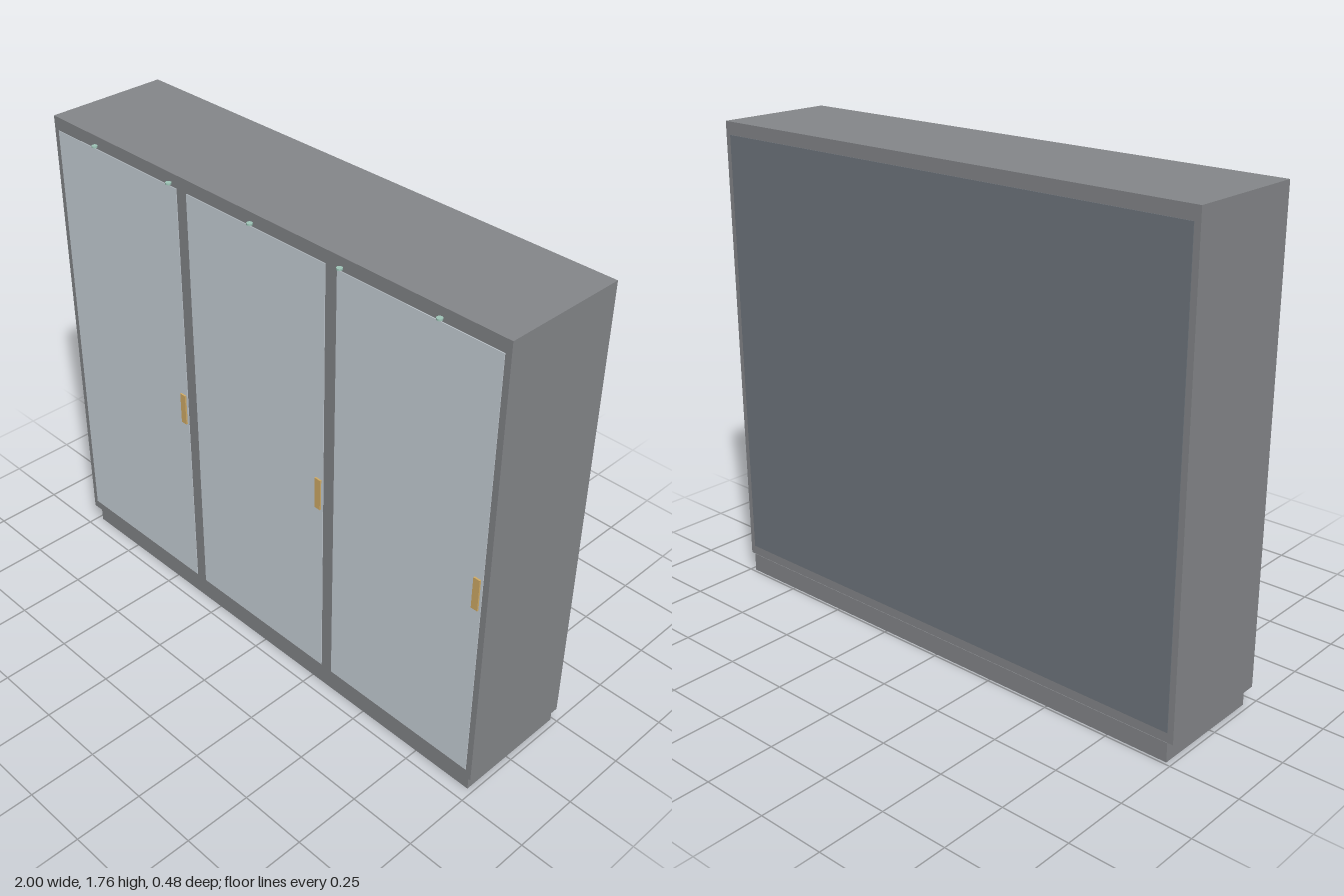
import * as THREE from 'three';

const paint = (color) => new THREE.MeshStandardMaterial({ color });

export function createModel() {
  const group = new THREE.Group();
  const frame = paint(0x85878a);
  const glass = paint(0xcad3da);
  const backing = paint(0x6f767e);
  const brass = paint(0xd2ad68);
  const lamp = paint(0x9fc5b8);

  const add = (name, geometry, material, x, y, z) => {
    const mesh = new THREE.Mesh(geometry, material);
    mesh.name = name;
    mesh.position.set(x, y, z);
    group.add(mesh);
  };
  // Box given by its lower and upper limits on each axis
  const box = (name, material, [x0, x1], [y0, y1], [z0, z1]) =>
    add(name, new THREE.BoxGeometry(x1 - x0, y1 - y0, z1 - z0), material,
      (x0 + x1) / 2, (y0 + y1) / 2, (z0 + z1) / 2);

  const back = -0.24, front = 0.216;
  const bottom = 0.07, top = 1.76;
  const panelY = [0.105, 1.713];

  // Plinth, set in at the sides and front
  box('plinth', frame, [-0.98, 0.98], [0, bottom], [back, 0.2]);

  // Cabinet body
  box('cabinetBody', frame, [-1, 1], [bottom, top], [back + 0.002, front]);

  // Back panel
  box('backPanel', backing, [-0.978, 0.978], panelY, [back, back + 0.01]);

  // Three doors, each with an upright handle near its left edge
  for (let i = -1; i <= 1; i++) {
    const x = i * 0.668;
    box('door', glass, [x - 0.31, x + 0.31], panelY, [front - 0.01, front + 0.002]);
    box('handle', brass, [x + 0.277, x + 0.302], [0.8, 0.92], [front, 0.224]);
  }

  // Small round lamps in a row along the top edge
  for (let i = -2; i <= 2; i++) {
    add('lamp', new THREE.CylinderGeometry(0.01, 0.01, 0.006, 16), lamp, i * 0.38, 1.73, 0.23);
  }

  return group;
}
